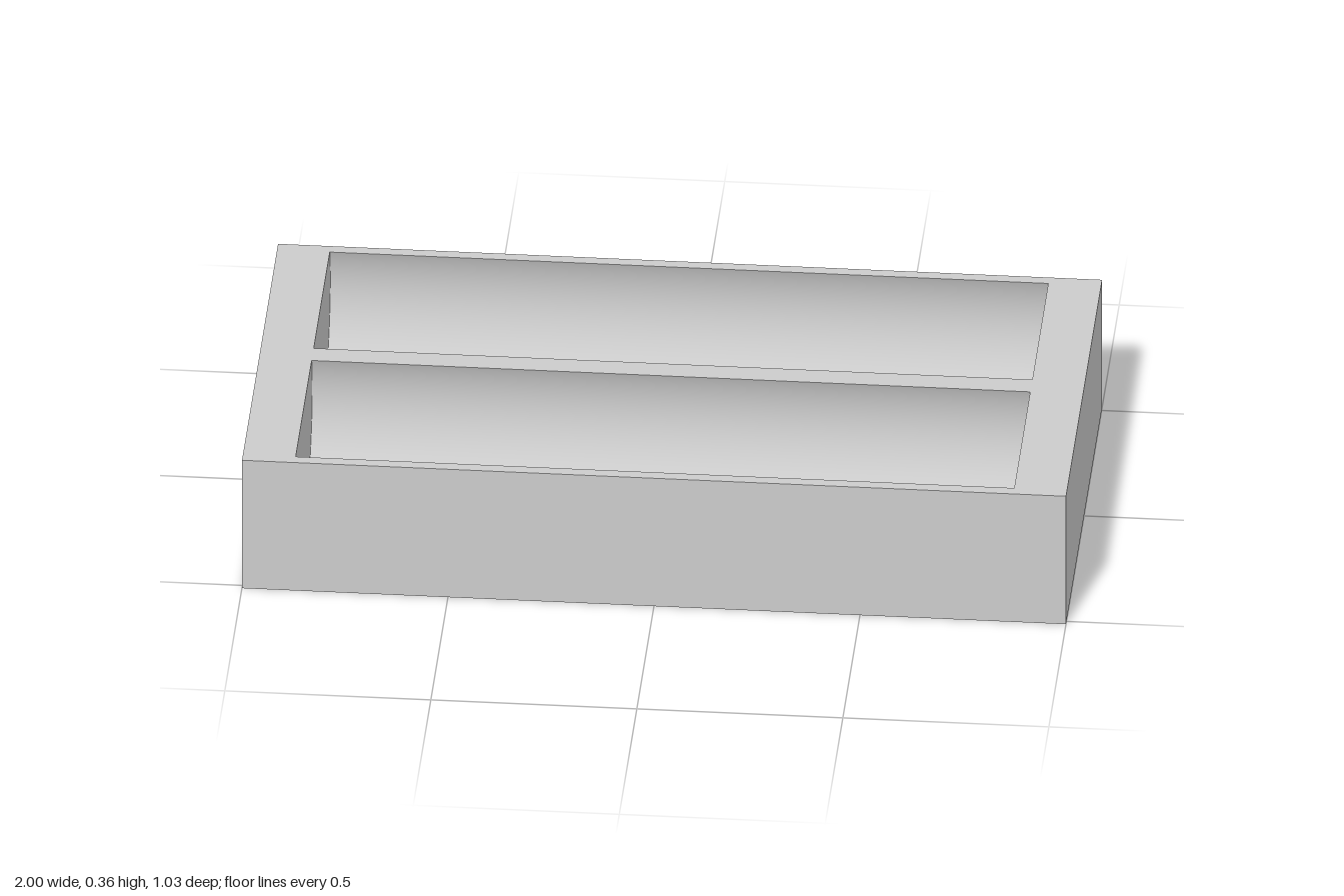
import * as THREE from 'three';

const W = 2, H = 0.36, D = 1.026;       // block size
const L = 1.744;                        // trough length
const HALF = 0.228;                     // half width of a trough opening
const DROP = 0.086;                     // trough axis below the top face
const R = Math.hypot(HALF, DROP);       // trough radius, wider than its opening
const ALPHA = Math.asin(DROP / R);
const TROUGH_Z = 0.257;

const grey = new THREE.MeshStandardMaterial({ color: 0xcccccc });
const greyDouble = new THREE.MeshStandardMaterial({ color: 0xcccccc, side: THREE.DoubleSide });

function add(parent, name, geometry, material = grey) {
  const mesh = new THREE.Mesh(geometry, material);
  mesh.name = name;
  parent.add(mesh);
  return mesh;
}

function rectangle(PathType, cx, cy, w, h) {
  return new PathType([[-1, -1], [1, -1], [1, 1], [-1, 1]].map(
    ([sx, sy]) => new THREE.Vector2(cx + sx * w / 2, cy + sy * h / 2)));
}

// One trough: a cylindrical channel with a flat wall at each end
function trough(name, z) {
  const group = new THREE.Group();
  group.name = name;
  group.position.set(0, H - DROP, z);

  const channel = new THREE.CylinderGeometry(R, R, L, 64, 1, true, Math.PI - ALPHA, Math.PI + 2 * ALPHA);
  add(group, 'channel', channel.rotateZ(Math.PI / 2), greyDouble);

  const profile = new THREE.Shape();
  profile.absarc(0, 0, R, Math.PI - ALPHA, 2 * Math.PI + ALPHA, false);
  for (const side of [-1, 1]) {
    const wall = new THREE.ShapeGeometry(profile, 64).rotateY(-side * Math.PI / 2);
    add(group, side > 0 ? 'leftEndWall' : 'rightEndWall', wall).position.x = side * L / 2;
  }
  return group;
}

export function createModel() {
  const model = new THREE.Group();
  model.name = 'twinTroughTray';

  // Outer sides and underside: a box without its top face
  const body = new THREE.BoxGeometry(W, H, D);
  const index = Array.from(body.index.array);
  index.splice(12, 6);
  body.setIndex(index);
  body.clearGroups();
  add(model, 'body', body.translate(0, H / 2, 0));

  // Top face with two rectangular openings
  const top = rectangle(THREE.Shape, 0, 0, W, D);
  for (const side of [-1, 1]) top.holes.push(rectangle(THREE.Path, 0, side * TROUGH_Z, L, 2 * HALF));
  add(model, 'rim', new THREE.ShapeGeometry(top).rotateX(-Math.PI / 2)).position.y = H;

  model.add(trough('frontTrough', TROUGH_Z), trough('backTrough', -TROUGH_Z));
  return model;
}
